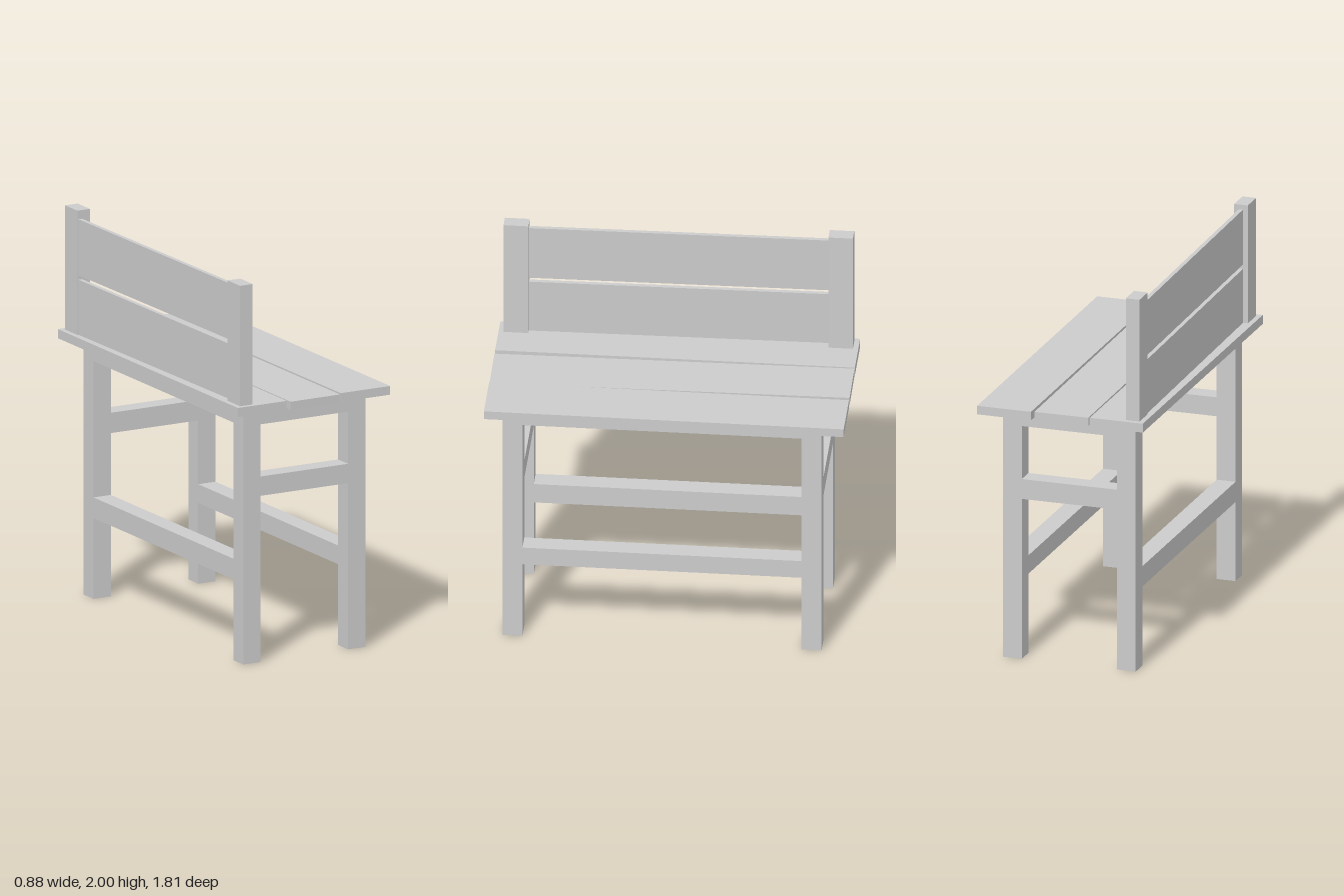
import * as THREE from 'three';

const material = new THREE.MeshStandardMaterial({ color: 0xcccccc, flatShading: true });

export function createModel() {
  const group = new THREE.Group();

  // Box given by its [min, max] span on each axis
  function beam(name, [x0, x1], [y0, y1], [z0, z1]) {
    const mesh = new THREE.Mesh(new THREE.BoxGeometry(x1 - x0, y1 - y0, z1 - z0), material);
    mesh.position.set((x0 + x1) / 2, (y0 + y1) / 2, (z0 + z1) / 2);
    mesh.name = name;
    group.add(mesh);
    return mesh;
  }

  const sides = [['right', [-0.36, -0.26]], ['left', [0.245, 0.345]]];
  const ends = [['Front', [0.72, 0.82]], ['Back', [-0.785, -0.685]]];
  const betweenX = [-0.26, 0.245];
  const betweenZ = [-0.685, 0.72];
  const apronY = [1.23, 1.312];

  // Legs, long stretchers and long aprons
  for (const [side, x] of sides) {
    for (const [end, z] of ends) beam(side + end + 'Leg', x, [0, 1.312], z);
    beam(side + 'Stretcher', x, [0.418, side === 'left' ? 0.515 : 0.525], betweenZ);
    beam(side + 'Apron', x, apronY, betweenZ);
  }

  // Cross stretchers and aprons at both ends
  for (const [end, z] of ends) {
    beam('cross' + end + 'Stretcher', betweenX, end === 'Front' ? [0.86, 0.96] : [0.845, 0.95], z);
    beam('cross' + end + 'Apron', betweenX, apronY, z);
  }

  // Two inner bearers under the seat
  beam('frontBearer', betweenX, apronY, [0.42, 0.52]);
  beam('backBearer', betweenX, apronY, [-0.45, -0.355]);

  // Seat planks, laid slightly out of true
  const seatZ = [-0.905, 0.905];
  beam('rightSeatPlank', [-0.44, -0.158], [1.31, 1.357], seatZ);
  const middle = beam('middleSeatPlank', [-0.143, 0.143], [1.31, 1.353], seatZ);
  middle.rotation.set(0.003, 0.008, 0);
  const left = beam('leftSeatPlank', [0.154, 0.44], [1.31, 1.355], seatZ);
  left.rotation.x = -0.002;

  // Backrest posts of unequal height
  beam('frontBackrestPost', [-0.413, -0.34], [1.355, 1.98], [0.755, 0.88]);
  beam('rearBackrestPost', [-0.413, -0.34], [1.355, 2], [-0.878, -0.755]);

  // Backrest boards, set at a slight skew between the posts
  for (const [name, y] of [['lowerBackrestBoard', [1.355, 1.642]], ['upperBackrestBoard', [1.665, 1.955]]]) {
    beam(name, [-0.397, -0.375], y, [-0.757, 0.757]).rotation.y = 0.013;
  }

  return group;
}
